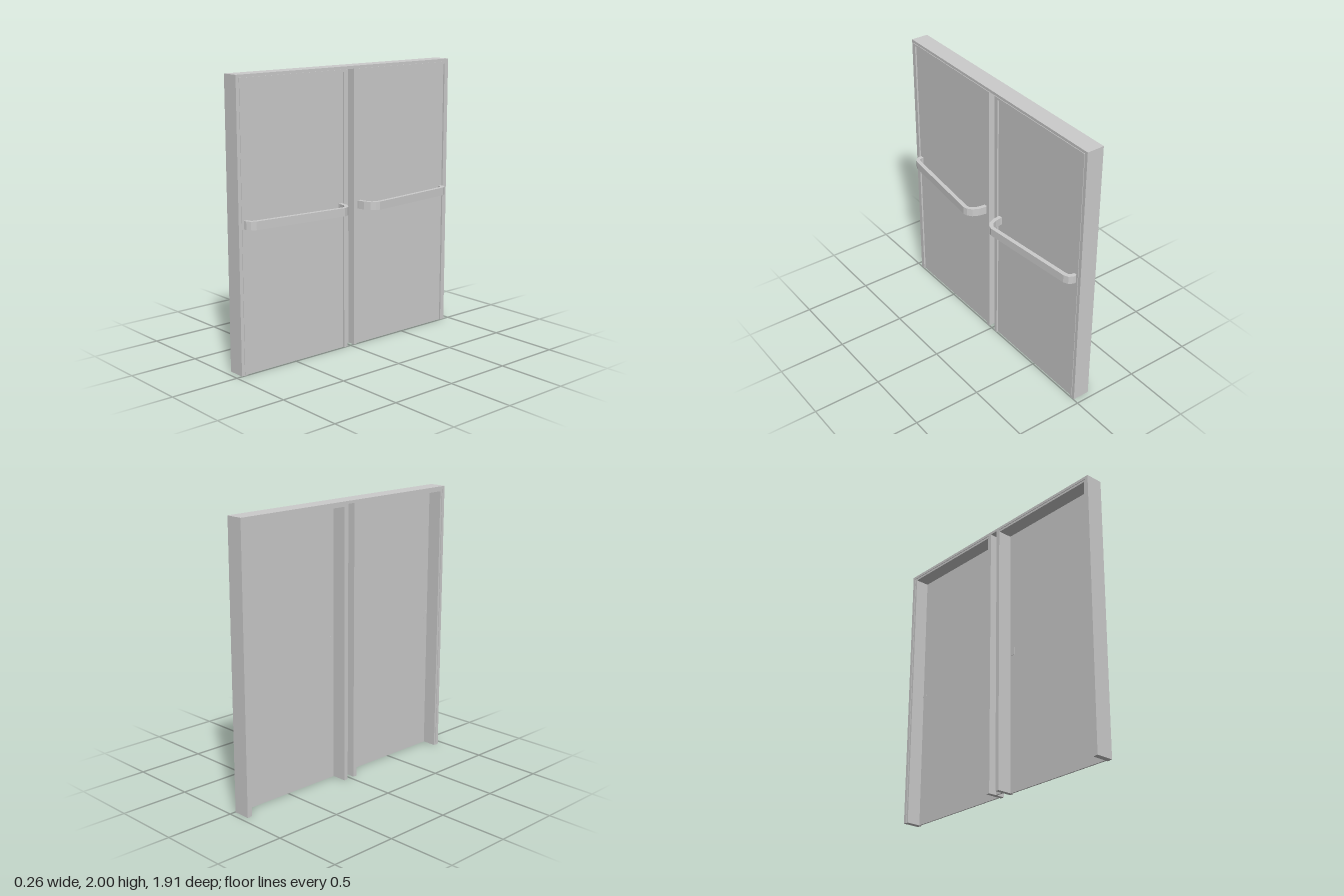
import * as THREE from 'three';

export function createModel() {
  const model = new THREE.Group();
  const material = new THREE.MeshStandardMaterial({ color: 0xcccccc });

  // Box given by its limits on each axis
  function box(name, parent, [x0, x1], [y0, y1], [z0, z1]) {
    const mesh = new THREE.Mesh(
      new THREE.BoxGeometry(x1 - x0, y1 - y0, Math.abs(z1 - z0)), material);
    mesh.position.set((x0 + x1) / 2, (y0 + y1) / 2, (z0 + z1) / 2);
    mesh.name = name;
    parent.add(mesh);
  }

  // Outer casing shared by both doors
  const outer = [-0.13, -0.004];
  const casing = new THREE.Group();
  casing.name = 'outerFrame';
  box('outerHeader', casing, outer, [1.98, 2], [-0.956, 0.956]);
  box('centreWeb', casing, [-0.072, -0.062], [0, 1.98], [-0.031, 0.031]);
  model.add(casing);

  // Plan outline of the push bar, as x and distance from the centre line
  const barOutline = [
    [-0.024, 0.072], [0, 0.072], [0.05, 0.08], [0.095, 0.102], [0.118, 0.132], [0.127, 0.162],
    [0.06, 0.86], [0.045, 0.893], [0.015, 0.91], [-0.024, 0.913],
    [-0.024, 0.883], [0.008, 0.881], [0.024, 0.872], [0.031, 0.85],
    [0.098, 0.16], [0.094, 0.144], [0.078, 0.124], [0.045, 0.109], [0, 0.101], [-0.024, 0.101],
  ];

  for (const side of [1, -1]) {
    const z = (a, b) => [side * a, side * b];
    box('outerJamb', casing, outer, [0, 1.98], z(0.932, 0.956));

    // Lining around each door, slightly proud of the casing
    const leaf = new THREE.Group();
    leaf.name = side > 0 ? 'frontDoor' : 'rearDoor';
    const lining = [-0.126, 0];
    box('liningJamb', leaf, lining, [0, 1.964], z(0.916, 0.932));
    box('mullionJamb', leaf, [-0.13, 0], [0, 1.98], z(0.031, 0.061));
    box('liningHeader', leaf, lining, [1.964, 1.98], z(0.061, 0.932));

    // Thin door sheet, set back from the front of the lining
    box('doorPanel', leaf, [-0.022, -0.012], [0, 1.964], z(0.061, 0.916));

    // Push bar, its ends passing through the sheet
    const shape = new THREE.Shape(barOutline.map(([x, d]) => new THREE.Vector2(x, side * d)));
    const geometry = new THREE.ExtrudeGeometry(shape, { depth: 0.058, bevelEnabled: false });
    geometry.rotateX(Math.PI / 2);
    const bar = new THREE.Mesh(geometry, material);
    bar.position.y = 1.054;
    bar.name = 'pushBar';
    leaf.add(bar);
    model.add(leaf);
  }
  return model;
}
